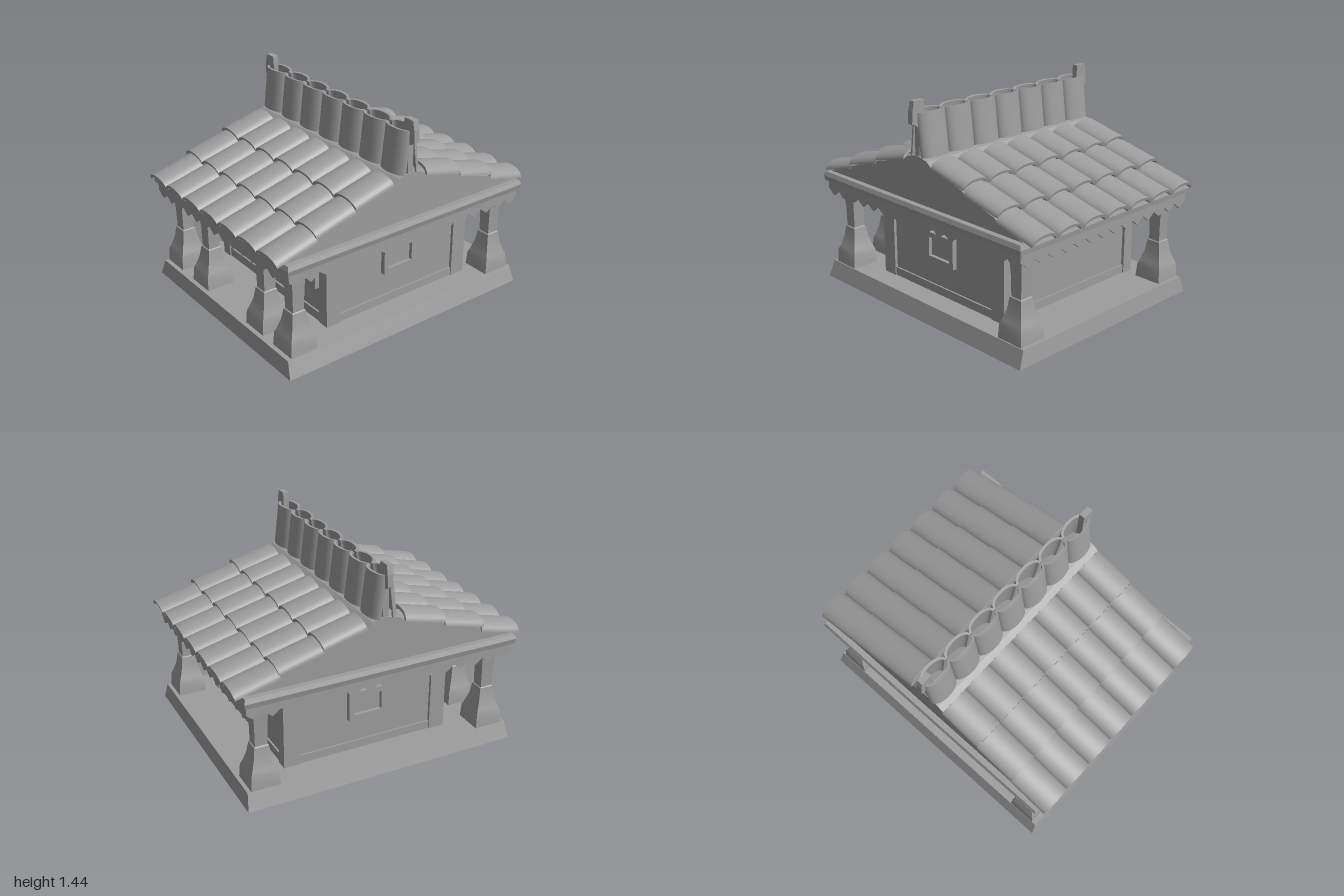
import * as THREE from 'three';
import { toCreasedNormals } from 'three/addons/utils/BufferGeometryUtils.js';

const material = new THREE.MeshStandardMaterial({ color: 0x9d9d9d });

function add(parent, name, geometry, x = 0, y = 0, z = 0) {
  const mesh = new THREE.Mesh(geometry, material);
  mesh.name = name;
  mesh.position.set(x, y, z);
  parent.add(mesh);
  return mesh;
}

// Box given by its limits
function block(parent, name, x0, x1, y0, y1, z0, z1) {
  const g = new THREE.BoxGeometry(x1 - x0, y1 - y0, z1 - z0);
  return add(parent, name, g, (x0 + x1) / 2, (y0 + y1) / 2, (z0 + z1) / 2);
}

// Box whose top face is scaled relative to its bottom
function taperedBox(w, h, d, topX, topZ) {
  const g = new THREE.BoxGeometry(w, h, d).toNonIndexed();
  const p = g.attributes.position;
  for (let i = 0; i < p.count; i++) {
    if (p.getY(i) > 0) p.setXYZ(i, p.getX(i) * topX, p.getY(i), p.getZ(i) * topZ);
  }
  g.computeVertexNormals();
  return g;
}

// Flat outline, with an optional hole, given thickness along z about 0
function extrude(points, depth, hole) {
  const toVectors = (list) => list.map(([x, y]) => new THREE.Vector2(x, y));
  const shape = new THREE.Shape(toVectors(points));
  if (hole) shape.holes.push(new THREE.Path(toVectors(hole)));
  return new THREE.ExtrudeGeometry(shape, { depth, bevelEnabled: false }).translate(0, 0, -depth / 2);
}

const rectangle = (x0, x1, y0, y1) => [[x0, y0], [x1, y0], [x1, y1], [x0, y1]];

// Half-round roof tile with open underside, running along +z from its upper end
function tileGeometry(length) {
  const points = [];
  const n = 16;
  for (let i = 0; i <= n; i++) {
    const a = (Math.PI * i) / n;
    points.push([0.109 * Math.cos(a), 0.058 * Math.sin(a)]);
  }
  for (let i = n; i >= 0; i--) {
    const a = (Math.PI * i) / n;
    points.push([0.092 * Math.cos(a), 0.04 * Math.sin(a)]);
  }
  return toCreasedNormals(extrude(points, length).translate(0, 0, length / 2), 0.7);
}

// Zigzag trim hanging below the eaves
function valanceGeometry(width, teeth) {
  const step = width / teeth;
  const points = [[width / 2, 0.73], [-width / 2, 0.73]];
  for (let i = 0; i < teeth; i++) {
    const x = -width / 2 + i * step;
    points.push([x, 0.66], [x + step * 0.3, 0.635], [x + step / 2, 0.618], [x + step * 0.7, 0.635]);
  }
  points.push([width / 2, 0.66]);
  return extrude(points, 0.015);
}

// Rectangular window frame with a sunken pane, facing +z
function makeWindow(w, h) {
  const g = new THREE.Group();
  g.name = 'window';
  const x = w / 2, y = h / 2, rim = 0.035;
  const hole = rectangle(-x + rim, x - rim, -y + rim, y - rim);
  add(g, 'windowFrame', extrude(rectangle(-x, x, -y, y), 0.035, hole), 0, 0, 0.0175);
  add(g, 'windowPane', new THREE.BoxGeometry(w - 2 * rim, h - 2 * rim, 0.01), 0, 0, 0.005);
  return g;
}

function makeWalls() {
  const g = new THREE.Group();
  g.name = 'walls';
  const front = 0.54, back = -0.63, side = 0.61;
  block(g, 'wallCore', -0.59, 0.59, 0.11, 0.73, back + 0.02, front - 0.02);

  // Corner posts, skirting boards and windows
  for (const s of [-1, 1]) {
    const [x0, x1] = s > 0 ? [0.53, side] : [-side, -0.53];
    block(g, 'frontCornerPost', x0, x1, 0.11, 0.73, 0.43, front);
    block(g, 'backCornerPost', x0, x1, 0.11, 0.73, back, -0.52);
    const [k0, k1] = s > 0 ? [0.58, 0.602] : [-0.602, -0.58];
    block(g, 'sideSkirting', k0, k1, 0.11, 0.17, -0.52, 0.43);
    const [f0, f1] = s > 0 ? [0.22, 0.53] : [-0.53, -0.2];
    block(g, 'frontSkirting', f0, f1, 0.11, 0.175, front - 0.03, front - 0.008);

    const sideWindow = makeWindow(0.265, 0.2);
    sideWindow.position.set(s * 0.588, 0.44, -0.045);
    sideWindow.rotation.y = s * Math.PI / 2;
    g.add(sideWindow);

    const frontWindow = makeWindow(0.19, 0.18);
    frontWindow.position.set(s * 0.41, 0.44, front - 0.022);
    g.add(frontWindow);
  }
  block(g, 'backSkirting', -0.53, 0.53, 0.11, 0.17, back + 0.008, back + 0.03);

  // Door frame with an opening slightly waisted at mid height, door set back in it
  const opening = [[-0.165, 0.175], [0.18, 0.175], [0.165, 0.34], [0.157, 0.48], [0.16, 0.6], [0.14, 0.605],
    [-0.13, 0.605], [-0.152, 0.615], [-0.145, 0.48], [-0.153, 0.34]];
  add(g, 'doorFrame', extrude(rectangle(-0.2, 0.22, 0.11, 0.73), 0.03, opening), 0, 0, front - 0.015);
  block(g, 'door', -0.18, 0.19, 0.17, 0.62, front - 0.03, front - 0.014);
  for (const x of [-0.028, 0.042]) {
    block(g, 'doorHandle', x - 0.02, x + 0.02, 0.383, 0.418, front - 0.02, front);
  }
  return g;
}

function makeColumns() {
  const g = new THREE.Group();
  g.name = 'columns';
  // Half widths and heights of the square section
  const profile = [[0, 0.11], [0.098, 0.11], [0.092, 0.205], [0.08, 0.235], [0.06, 0.3], [0.048, 0.38],
    [0.041, 0.385], [0.043, 0.52], [0.052, 0.66], [0.056, 0.73], [0, 0.73]];
  const geometry = toCreasedNormals(new THREE.LatheGeometry(
    profile.map(([r, y]) => new THREE.Vector2(r * Math.SQRT2, y)), 4).rotateY(Math.PI / 4), 0.5);
  for (const x of [-0.655, -0.315, 0.345, 0.65]) add(g, 'frontColumn', geometry, x, 0, 0.81);
  for (const x of [-0.655, 0.65]) add(g, 'backColumn', geometry, x, 0, -0.815);
  return g;
}

function makeRoof() {
  const g = new THREE.Group();
  g.name = 'roof';
  add(g, 'eavesSlab', taperedBox(1.575, 0.035, 1.89, 1.01, 1.005), 0, 0.733, 0);
  add(g, 'eavesSlabTop', taperedBox(1.59, 0.028, 1.9, 0.985, 0.99), 0, 0.764, 0);

  // Zigzag trim on all four sides
  for (const s of [-1, 1]) {
    add(g, 'endValance', valanceGeometry(1.54, 14), 0, 0, s * 0.925);
    add(g, 'sideValance', valanceGeometry(1.86, 17), s * 0.765, 0, 0).rotation.y = Math.PI / 2;
  }

  // Gable body, stepped under the tile rows
  const slopeEdge = [[0.94, 0.775], [0.71, 0.85], [0.69, 0.866], [0.43, 0.946], [0.41, 0.962], [0.13, 1.04], [0.09, 1.07]];
  const mirrored = slopeEdge.map(([z, y]) => [-z, y]).reverse();
  add(g, 'gable', extrude([...slopeEdge, [0, 1.09], ...mirrored], 1.49).rotateY(Math.PI / 2));

  // Rows of tiles: z and y of the upper end, tilt, geometry
  const slopeTile = tileGeometry(0.3);
  const ridgeTile = tileGeometry(0.285);
  const rows = [
    ['slopeTile', 0.7, 0.842, 0.245, slopeTile],
    ['slopeTile', 0.42, 0.942, 0.245, slopeTile],
    ['slopeTile', 0.13, 1.037, 0.245, slopeTile],
    ['ridgeTile', 0.008, 1.363, 1.45, ridgeTile],
  ];
  for (const half of [0, 1]) {
    const slope = new THREE.Group();
    slope.name = half ? 'backSlope' : 'frontSlope';
    slope.rotation.y = half * Math.PI;
    for (const [name, z, y, tilt, geometry] of rows) {
      for (let i = -3; i <= 3; i++) {
        add(slope, name, geometry, i * 0.2145 + (half ? 0.005 : -0.005), y, z).rotation.x = tilt;
      }
    }
    g.add(slope);
  }

  // Low ridge board between upturned horns
  add(g, 'ridgeBoard', taperedBox(1.46, 0.12, 0.05, 1, 0.4), 0, 1.13, 0);
  const horn = rectangle(0.695, 0.74, 1.08, 1.27).slice(0, 2).concat(
    [[0.738, 1.27], [0.79, 1.3], [0.785, 1.38], [0.772, 1.44], [0.695, 1.44], [0.69, 1.39]]);
  const hornGeometry = extrude(horn, 0.04);
  add(g, 'ridgeHorn', hornGeometry);
  add(g, 'ridgeHorn', hornGeometry).rotation.y = Math.PI;
  return g;
}

export function createModel() {
  const model = new THREE.Group();
  model.name = 'tiledHouse';
  add(model, 'base', taperedBox(1.59, 0.113, 1.905, 0.95, 0.985), 0, 0.0565, 0);
  model.add(makeWalls(), makeColumns(), makeRoof());
  return model;
}
